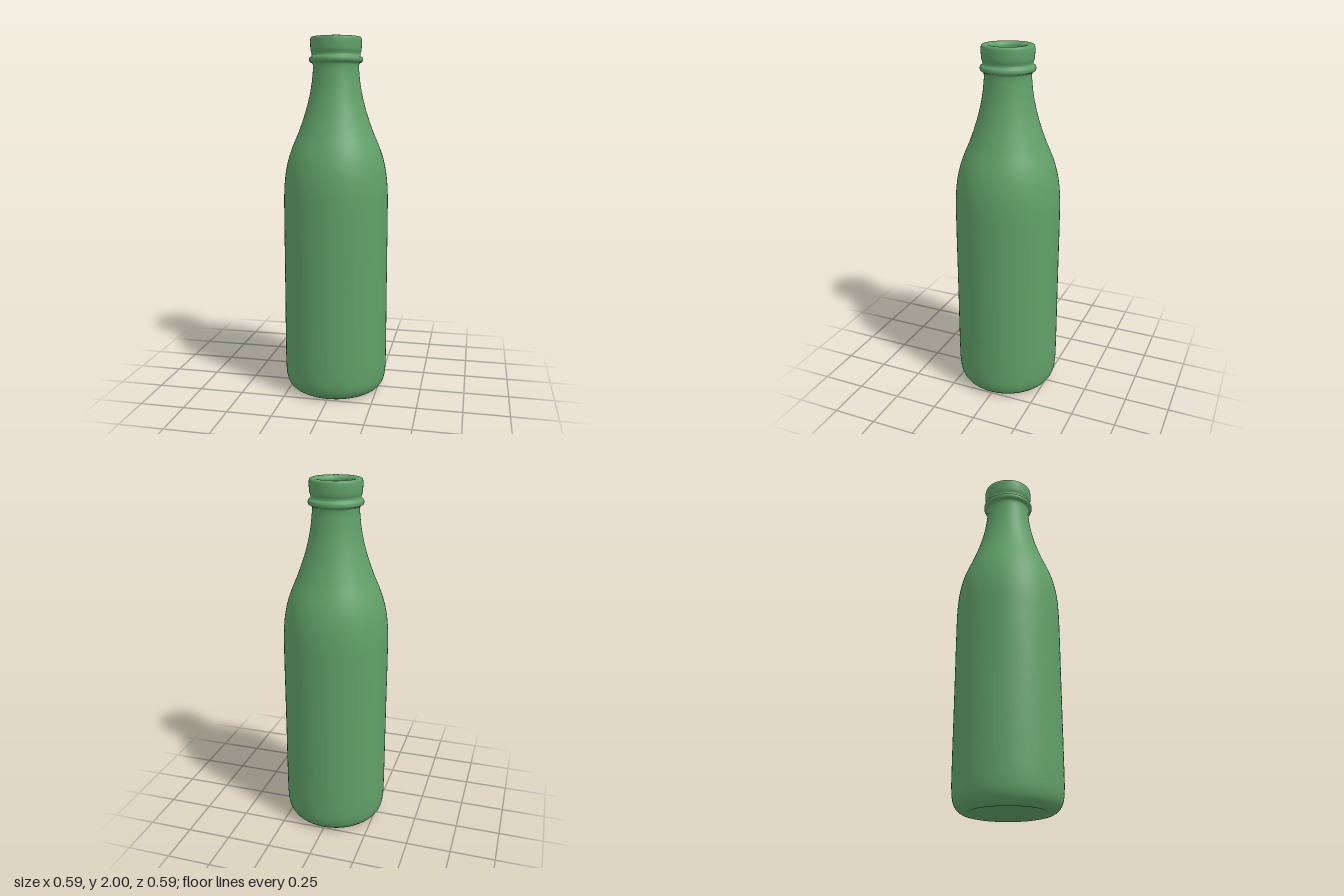
import * as THREE from 'three';

// Outer profile from base centre up to the lip, then down the inside wall
const OUTER = [
  [0, 0.03], [0.1, 0.025], [0.18, 0.012], [0.215, 0.001], [0.24, 0.004], [0.268, 0.025], [0.285, 0.06],
  [0.292, 0.11], [0.294, 0.2], [0.294, 0.5], [0.294, 0.8], [0.294, 1.08], [0.291, 1.18], [0.281, 1.27],
  [0.262, 1.35], [0.238, 1.415], [0.21, 1.48], [0.168, 1.6], [0.141, 1.71], [0.129, 1.8], [0.127, 1.85],
  [0.133, 1.86], [0.145, 1.866], [0.148, 1.878], [0.145, 1.89], [0.135, 1.897], [0.133, 1.91], [0.139, 1.925],
  [0.141, 1.95], [0.141, 1.985], [0.137, 1.997], [0.125, 2], [0.11, 1.999], [0.097, 1.994], [0.09, 1.98],
];
const INNER = [
  [0.09, 1.98], [0.09, 1.85], [0.095, 1.75], [0.125, 1.6], [0.17, 1.46], [0.22, 1.33], [0.245, 1.18],
  [0.25, 1.05], [0.25, 0.6], [0.25, 0.14], [0.235, 0.08], [0.2, 0.06], [0.1, 0.06], [0, 0.06],
];

// One seed per shard; cracks run halfway between neighbouring seeds
const SHARDS = {
  neckShard: [-0.123, 1.413, 0],
  leftShoulderShard: [0.15, 1.35, 0],
  frontUpperShard: [0, 1.13, 0.2],
  frontMiddleShard: [-0.13, 0.62, 0.2],
  frontLeftShard: [0.26, 0.66, 0.14],
  leftUpperShard: [0.26, 0.82, 0.1],
  leftHighShard: [0.26, 0.97, -0.05],
  leftBackChip: [0.27, 0.74, -0.1],
  leftChip: [0.27, 0.7, 0.03],
  leftMiddleShard: [0.27, 0.53, 0.05],
  leftBackShard: [0.2, 0.53, -0.2],
  backUpperShard: [0.08, 0.87, -0.27],
  rightBackUpperShard: [-0.18, 0.9, -0.2],
  rightBackMiddleShard: [-0.15, 0.5, -0.22],
  frontLowerShard: [0.15, 0.2, 0.2],
  rightLowerShard: [-0.3, 0.2, 0.12],
  backLowerShard: [0.15, 0.2, -0.12],
  rightBackLowerShard: [-0.15, 0.15, -0.2],
  baseShard: [-0.03, 0, 0.12],
};

function smoothProfile(points, divisions) {
  const curve = new THREE.CatmullRomCurve3(points.map(([x, y]) => new THREE.Vector3(x, y, 0)), false, 'centripetal');
  const out = [];
  for (let i = 0; i <= (points.length - 1) * divisions; i++) {
    const p = curve.getPoint(i / ((points.length - 1) * divisions));
    out.push(new THREE.Vector2(Math.max(0, p.x), p.y));
  }
  return out;
}

// Triangles of the whole bottle; each corner is [x, y, z, nx, ny, nz]
function bottleTriangles() {
  const profile = [...smoothProfile(OUTER, 2), ...smoothProfile(INNER, 2).slice(1)];
  const lathe = new THREE.LatheGeometry(profile, 72);
  const { position, normal } = lathe.attributes;
  const corner = (i) => [
    position.getX(i), position.getY(i), position.getZ(i),
    normal.getX(i), normal.getY(i), normal.getZ(i),
  ];
  const triangles = [];
  for (let i = 0; i < lathe.index.count; i += 3) {
    triangles.push([0, 1, 2].map((k) => corner(lathe.index.getX(i + k))));
  }
  return triangles;
}

// Keep the part of a polygon that is nearer to seed a than to seed b
function clipToSeed(polygon, a, b) {
  const side = (p) => {
    let s = 0;
    for (let k = 0; k < 3; k++) s += (p[k] - b[k]) ** 2 - (p[k] - a[k]) ** 2;
    return s;
  };
  const d = polygon.map(side);
  if (d.every((v) => v >= 0)) return polygon;
  const out = [];
  polygon.forEach((p, i) => {
    const j = (i + 1) % polygon.length;
    if (d[i] >= 0) out.push(p);
    if ((d[i] >= 0) !== (d[j] >= 0)) {
      const t = d[i] / (d[i] - d[j]);
      out.push(p.map((v, k) => v + (polygon[j][k] - v) * t));
    }
  });
  return out;
}

function shardGeometry(triangles, seed, others) {
  const positions = [];
  const normals = [];
  for (const triangle of triangles) {
    let polygon = triangle;
    for (const other of others) {
      polygon = clipToSeed(polygon, seed, other);
      if (polygon.length < 3) break;
    }
    for (let i = 1; i + 1 < polygon.length; i++) {
      for (const p of [polygon[0], polygon[i], polygon[i + 1]]) {
        positions.push(p[0], p[1], p[2]);
        normals.push(p[3], p[4], p[5]);
      }
    }
  }
  const geometry = new THREE.BufferGeometry();
  geometry.setAttribute('position', new THREE.Float32BufferAttribute(positions, 3));
  geometry.setAttribute('normal', new THREE.Float32BufferAttribute(normals, 3));
  return geometry;
}

export function createModel() {
  const bottle = new THREE.Group();
  bottle.name = 'crackedBottle';
  const glass = new THREE.MeshStandardMaterial({ color: 0x60a068 });
  const triangles = bottleTriangles();
  const seeds = Object.values(SHARDS);

  for (const [name, seed] of Object.entries(SHARDS)) {
    const geometry = shardGeometry(triangles, seed, seeds.filter((s) => s !== seed));
    if (geometry.attributes.position.count === 0) continue;
    const shard = new THREE.Mesh(geometry, glass);
    shard.name = name;
    bottle.add(shard);
  }
  return bottle;
}
